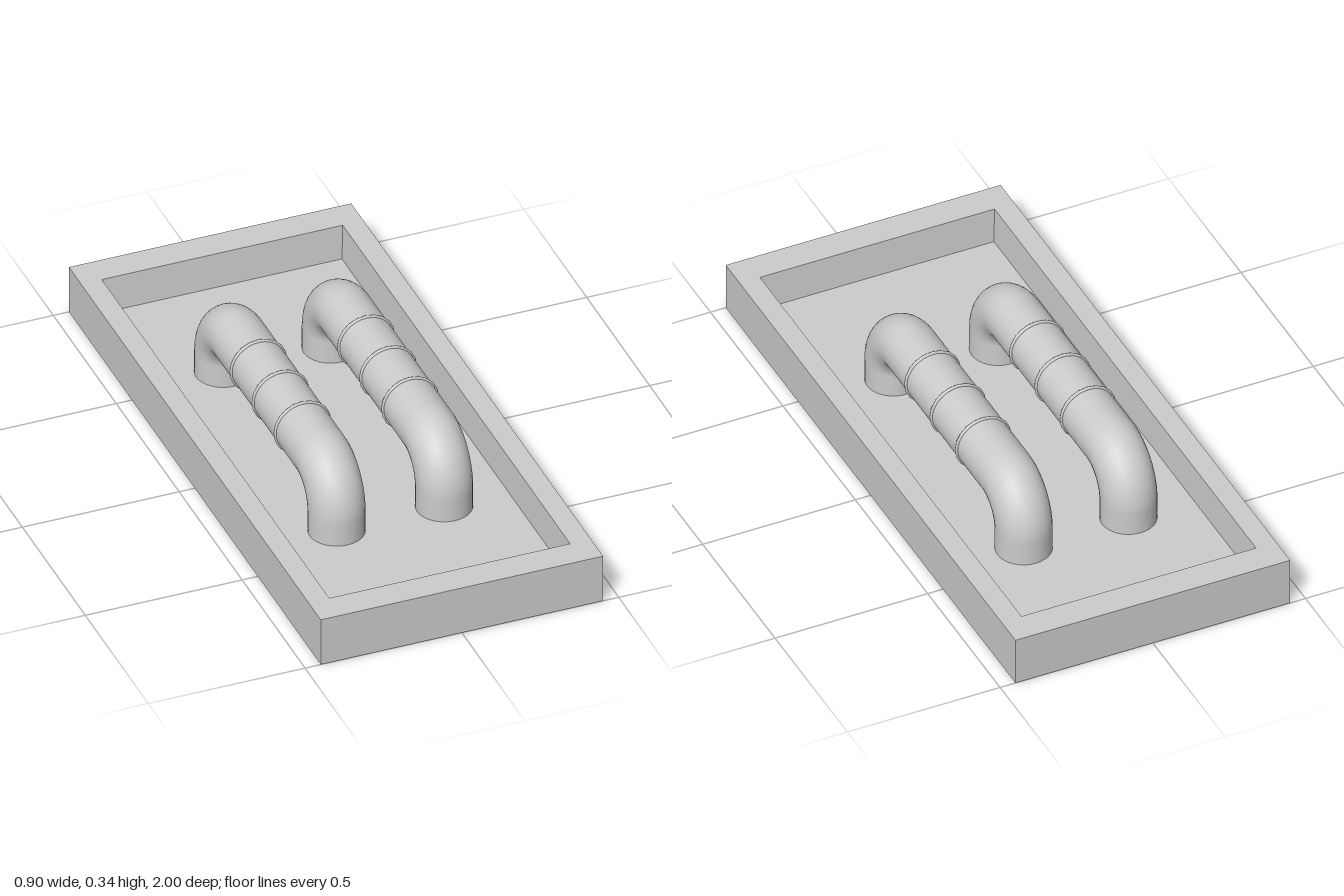
import * as THREE from 'three';

const material = new THREE.MeshStandardMaterial({ color: 0xcccccc });

function add(parent, name, geometry) {
  const mesh = new THREE.Mesh(geometry, material);
  mesh.name = name;
  parent.add(mesh);
  return mesh;
}

// Open tray lofted through rectangular loops: base, rim, recess, floor
function trayGeometry() {
  const loops = [
    [0.45, 0, 1], [0.45, 0.16, 1], [0.384, 0.16, 0.903], [0.377, 0.048, 0.892],
  ].map(([w, y, d]) => [[w, y, d], [w, y, -d], [-w, y, -d], [-w, y, d]]);
  const pos = [];
  const quad = (a, b, c, d) => pos.push(...a, ...b, ...c, ...a, ...c, ...d);
  for (let i = 0; i < loops.length - 1; i++) {
    for (let j = 0; j < 4; j++) {
      const k = (j + 1) % 4;
      quad(loops[i][j], loops[i][k], loops[i + 1][k], loops[i + 1][j]);
    }
  }
  quad(...loops[3]);
  quad(...[...loops[0]].reverse());
  const g = new THREE.BufferGeometry();
  g.setAttribute('position', new THREE.Float32BufferAttribute(pos, 3));
  g.computeVertexNormals();
  return g;
}

// Pipe centre line: leg, round elbow, straight run, elbow, leg
function pipePath(zFront, zBack, yFloor, yTop, bend) {
  const v = (y, z) => new THREE.Vector3(0, y, z);
  const k = bend * (1 - 0.5523);
  const yb = yTop - bend, zf = zFront - bend, zb = zBack + bend;
  const path = new THREE.CurvePath();
  path.add(new THREE.LineCurve3(v(yFloor, zFront), v(yb, zFront)));
  path.add(new THREE.CubicBezierCurve3(v(yb, zFront), v(yTop - k, zFront), v(yTop, zFront - k), v(yTop, zf)));
  path.add(new THREE.LineCurve3(v(yTop, zf), v(yTop, zb)));
  path.add(new THREE.CubicBezierCurve3(v(yTop, zb), v(yTop, zBack + k), v(yTop - k, zBack), v(yb, zBack)));
  path.add(new THREE.LineCurve3(v(yb, zBack), v(yFloor, zBack)));
  return path;
}

export function createModel() {
  const model = new THREE.Group();
  model.name = 'trayWithPipes';
  add(model, 'tray', trayGeometry());

  const pipeGeometry = new THREE.TubeGeometry(pipePath(0.425, -0.475, 0.045, 0.245, 0.125), 96, 0.086, 32);
  const bandGeometry = new THREE.TorusGeometry(0.086, 0.006, 8, 20);

  for (const [side, x] of [['right', -0.169], ['left', 0.174]]) {
    const pipe = new THREE.Group();
    pipe.name = side + 'Pipe';
    pipe.position.x = x;
    add(pipe, side + 'PipeBody', pipeGeometry);
    // Raised joint bands along the straight run
    [0.155, -0.02, -0.195].forEach((z, i) => {
      add(pipe, side + 'Band' + (i + 1), bandGeometry).position.set(0, 0.245, z);
    });
    model.add(pipe);
  }
  return model;
}
